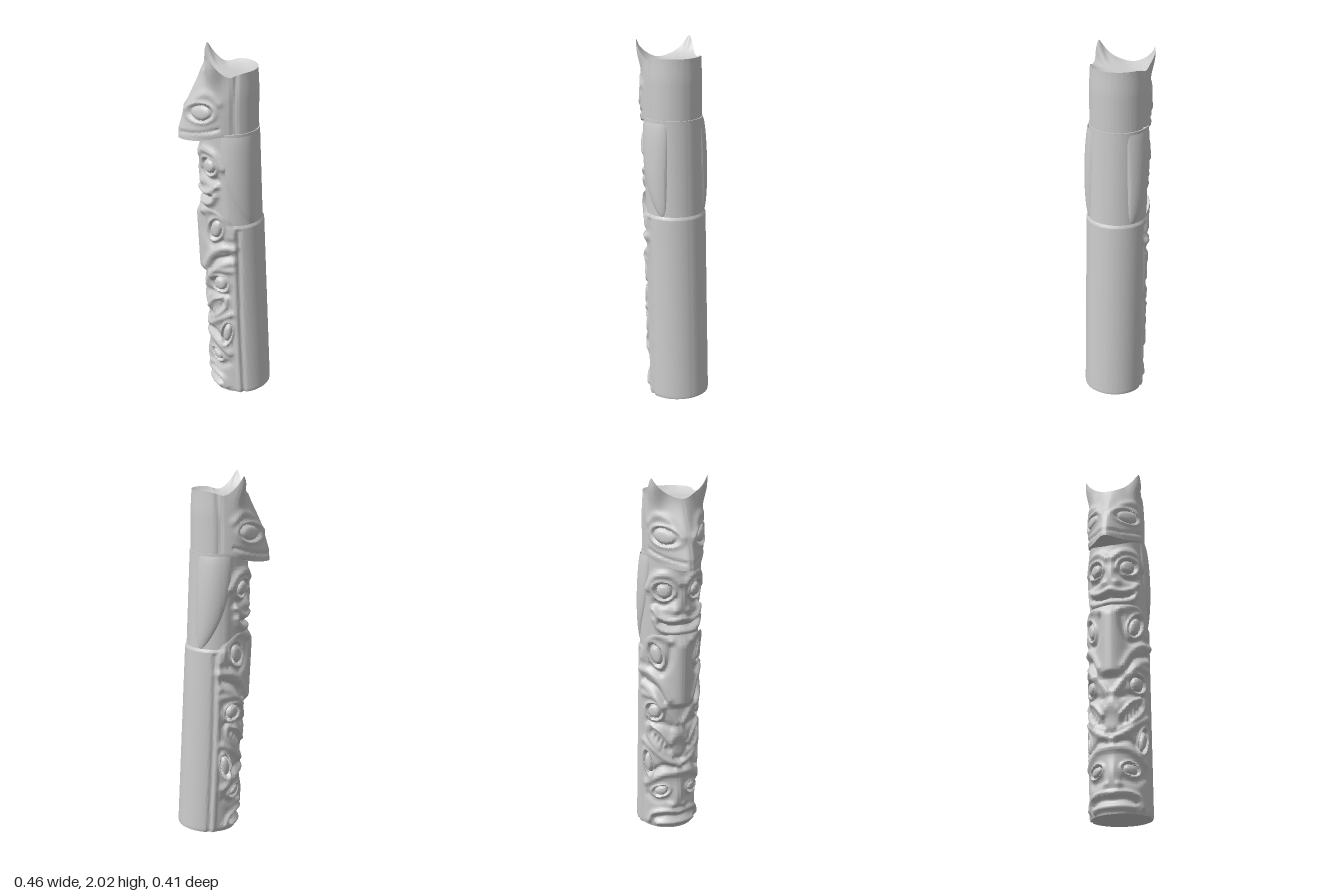
import * as THREE from 'three';
import { toCreasedNormals } from 'three/addons/utils/BufferGeometryUtils.js';

const { smoothstep: ss, lerp } = THREE.MathUtils;
const gauss = (d, w) => Math.exp(-(d * d) / (w * w));
const ARC = 0.17; // turns angles into distances along the pole's surface
const COLS = 180;

// Angle around the pole (0 = front), with closer columns on the carved front
const angleAt = (t) => Math.PI * t - 0.5 * Math.sin(Math.PI * t);

// Axis offset and radius of the leaning pole
const axisZ = (y) => (y < 1.1 ? lerp(-0.068, -0.018, y / 1.1) : lerp(-0.018, 0.002, Math.min(1, (y - 1.1) / 0.5)));

// Builds a grid surface from fn(row, column) -> [x, y, z]
function surface(rows, cols, fn, wrap) {
  const pos = [], idx = [], w = wrap ? cols : cols + 1;
  for (let i = 0; i <= rows; i++) for (let j = 0; j < w; j++) pos.push(...fn(i, j));
  for (let i = 0; i < rows; i++) {
    for (let j = 0; j < cols; j++) {
      const k = (j + 1) % w, a = i * w + j, b = i * w + k, c = b + w, d = a + w;
      idx.push(a, b, c, a, c, d);
    }
  }
  const g = new THREE.BufferGeometry();
  g.setAttribute('position', new THREE.Float32BufferAttribute(pos, 3));
  g.setIndex(idx);
  return toCreasedNormals(g, 0.9);
}

// Carved eye: a raised lid, a groove and a domed eyeball
const eye = (u, v, ru, rv, tilt, h) => (x, y) => {
  const c = Math.cos(tilt), s = Math.sin(tilt), dx = x - u, dy = y - v;
  const d = Math.hypot((dx * c + dy * s) / ru, (dy * c - dx * s) / rv);
  if (d > 2.2) return 0;
  return h * (0.7 * gauss(d - 1.35, 0.25) - 0.9 * gauss(d - 1, 0.18) + 0.8 * Math.sqrt(Math.max(0, 1 - d * d)));
};

// Rounded bump
const bump = (u, v, ru, rv, h) => (x, y) => h * gauss(Math.hypot((x - u) / ru, (y - v) / rv), 1);

// Ridge (h > 0) or groove (h < 0) along a smooth path of [u, y] points
const line = (w, h, ...pts) => {
  const path = new THREE.CatmullRomCurve3(pts.map(([u, v]) => new THREE.Vector3(u, v, 0))).getPoints(14);
  return (x, y) => {
    let best = 1;
    for (let i = 0; i < path.length - 1; i++) {
      const p = path[i], ex = path[i + 1].x - p.x, ey = path[i + 1].y - p.y;
      const t = Math.min(1, Math.max(0, ((x - p.x) * ex + (y - p.y) * ey) / (ex * ex + ey * ey)));
      best = Math.min(best, Math.hypot(x - p.x - ex * t, y - p.y - ey * t));
    }
    return h * gauss(best, w);
  };
};

const carve = (marks, a, y) => marks.reduce((sum, m) => sum + m(Math.abs(a) * ARC, y), 0);

// Closed pole section: bottom(a), top(a) heights, radius(a, y), height of the dished top
function section(rows, bottom, top, radius, dish) {
  const cap = 12;
  return surface(rows + cap + 1, COLS, (i, j) => {
    const a = angleAt((2 * j) / COLS - 1);
    const t = Math.min(1, Math.max(0, (i - 1) / rows));
    const s = i === 0 ? 0.001 : Math.max(0.001, 1 - Math.max(0, i - 1 - rows) / cap);
    const y0 = lerp(bottom(a), top(a), t);
    const y = i > rows + 1 ? lerp(dish, y0, Math.pow(s, 4)) : y0;
    const r = radius(a, y0) * s;
    return [r * Math.sin(a), y, axisZ(y0) + r * Math.cos(a)];
  }, true);
}

// Lowest face: brows, eyes, nose and down-turned lips
const lowFace = [
  line(0.022, 0.016, [0, 0.35], [0.09, 0.34], [0.2, 0.27]),
  eye(0.105, 0.235, 0.042, 0.027, -0.25, 0.013),
  bump(0, 0.2, 0.035, 0.08, 0.02), bump(0.035, 0.15, 0.02, 0.022, 0.014),
  line(0.015, 0.017, [0, 0.105], [0.08, 0.11], [0.15, 0.09], [0.175, 0.04]),
  line(0.015, 0.015, [0, 0.035], [0.07, 0.035], [0.12, 0.03]),
  line(0.012, -0.01, [0, 0.07], [0.07, 0.075], [0.135, 0.06]),
  line(0.02, -0.01, [0.06, 0.18], [0.13, 0.17], [0.19, 0.2]),
];
// Toothed face with crossed limbs and oval ears below it
const toothFace = [
  eye(0.158, 0.715, 0.044, 0.04, 0.3, 0.016),
  line(0.02, 0.014, [0.02, 0.66], [0.09, 0.75], [0.15, 0.8], [0.23, 0.81]),
  line(0.02, -0.014, [0.05, 0.63], [0.11, 0.65], [0.2, 0.65]),
  bump(0, 0.59, 0.05, 0.05, 0.016), bump(0.04, 0.56, 0.02, 0.025, 0.01),
  line(0.013, 0.015, [0.05, 0.53], [0.11, 0.6], [0.18, 0.64]),
  line(0.013, 0.014, [0.04, 0.45], [0.12, 0.5], [0.19, 0.57], [0.2, 0.63]),
  line(0.016, -0.012, [0.06, 0.49], [0.12, 0.55], [0.17, 0.59]),
  ...[0, 1, 2, 3].map((k) => bump(0.085 + k * 0.022, 0.515 + k * 0.022, 0.009, 0.017, 0.013)),
  eye(0.19, 0.4, 0.026, 0.06, -0.25, 0.017),
  line(0.02, 0.016, [0, 0.4], [0.07, 0.43], [0.14, 0.48], [0.22, 0.53]),
  line(0.016, -0.012, [0, 0.43], [0.06, 0.46], [0.1, 0.49]),
  line(0.015, -0.012, [0.03, 0.38], [0.1, 0.39], [0.15, 0.36]),
];
// Long-beaked face
const beakFace = [
  eye(0.15, 1.05, 0.036, 0.058, -0.45, 0.014),
  line(0.022, 0.014, [0.06, 1.14], [0.14, 1.16], [0.22, 1.12], [0.24, 1.02]),
  line(0.02, -0.014, [0.06, 1.1], [0.075, 1.0], [0.11, 0.95], [0.19, 0.98]),
  line(0.022, 0.016, [0.07, 0.8], [0.11, 0.88], [0.18, 0.94], [0.26, 0.95]),
  line(0.014, -0.013, [0.09, 0.79], [0.14, 0.86], [0.24, 0.9]),
  line(0.018, 0.012, [0.1, 0.75], [0.15, 0.82], [0.24, 0.86]),
];
const sideGrooves = [
  line(0.012, -0.01, [0.275, -0.05], [0.275, 0.5], [0.285, 1.05]),
  line(0.014, 0.006, [0.25, -0.05], [0.25, 0.5], [0.26, 1.05]),
];
const lowerMarks = [...lowFace, ...toothFace, ...beakFace, ...sideGrooves];

function lowerRadius(a, y) {
  const front = 1 - ss(Math.abs(a), 1.3, 1.65);
  const beak = 0.037 * gauss(a, 0.42) * ss(y, 0.735, 0.78) * (1 - ss(y, 1.1, 1.19));
  return 0.171 - 0.008 * front + beak + carve(lowerMarks, a, y) - 0.01 * ss(y, 1.07, 1.09) * ss(Math.abs(a), 1.2, 1.6)
    - 0.006 * (1 - ss(y, 0, 0.03));
}

// Broad-lipped face between the wings
const wingFace = [
  eye(0.11, 1.41, 0.05, 0.04, 0.15, 0.016),
  line(0.024, 0.018, [0.02, 1.46], [0.08, 1.5], [0.16, 1.49], [0.21, 1.42]),
  line(0.02, -0.016, [0.05, 1.37], [0.1, 1.335], [0.17, 1.34]),
  bump(0, 1.36, 0.04, 0.1, 0.02), bump(0.04, 1.305, 0.024, 0.025, 0.016),
  line(0.017, 0.021, [0, 1.26], [0.07, 1.25], [0.13, 1.27], [0.17, 1.31]),
  line(0.018, 0.02, [0, 1.185], [0.07, 1.185], [0.13, 1.205], [0.16, 1.25]),
  line(0.011, -0.014, [0, 1.222], [0.06, 1.217], [0.13, 1.235]),
];
const wingRadius = (a, y) => 0.163 - 0.006 * (1 - ss(Math.abs(a), 1.1, 1.4)) + carve(wingFace, a, y);

// Head with overhanging beak, browed eyes and pointed ears
const headMarks = [
  eye(0.105, 1.715, 0.06, 0.04, 0.25, 0.011),
  line(0.022, 0.011, [0.03, 1.72], [0.08, 1.8], [0.15, 1.82], [0.2, 1.78]),
  line(0.009, -0.008, [0.02, 1.585], [0.1, 1.605], [0.2, 1.64]),
  line(0.014, -0.008, [0.29, 1.55], [0.285, 1.75], [0.3, 1.95]),
];
const earAt = (a) => Math.abs(Math.abs(a) - 0.96);
function headRadius(a, y) {
  const drop = Math.min(1, Math.max(0, (1.92 - y) / 0.36));
  const front = 1 - ss(Math.abs(a), 0.8, 1.65);
  const taper = 0.006 * ss(y, 1.8, 1.95) + 0.008 * (1 - ss(y, 1.56, 1.61));
  const brow = 0.045 * gauss(earAt(a), 0.28) * ss(y, 1.78, 1.98);
  const beak = drop * (0.07 * gauss(a, 0.55) + 0.035 * gauss(a, 0.2));
  return 0.157 + 0.022 * front * ss(drop, 0.05, 0.6) + beak + brow - taper + carve(headMarks, a, y);
}
const headBottom = (a) => 1.6 - 0.055 * (1 - ss(Math.abs(a), 0.1, 1.5));
const headTop = (a) => 1.937 - 0.022 * gauss(Math.abs(a) - 1.5, 0.35) - 0.03 * gauss(a, 0.5)
  + 0.085 * Math.exp(-Math.pow(earAt(a) / 0.2, 1.3));

// Folded wing, tapering down to a point at the back of the side
function wing(side) {
  return surface(50, 24, (i, j) => {
    const t = i / 50, y = lerp(1.085, 1.595, t), s = side > 0 ? j / 24 : 1 - j / 24;
    const front = lerp(1.2, 2.1, Math.pow(1 - t, 2.6));
    const back = lerp(2.3, 2.52, Math.pow(t, 0.4));
    const a = side * lerp(front, back, s);
    const puff = Math.pow(Math.max(0, Math.sin(Math.PI * s)), 0.4) * Math.pow(Math.max(0, Math.sin(Math.PI * lerp(0.02, 0.96, t))), 0.4);
    const r = 0.154 + 0.03 * puff;
    return [r * Math.sin(a), y, axisZ(y) + r * Math.cos(a)];
  }, false);
}

export function createModel() {
  const model = new THREE.Group();
  model.name = 'totemPole';
  const carving = new THREE.Group();
  carving.name = 'carving';
  const mat = new THREE.MeshStandardMaterial({ color: 0xcccccc });
  const wingMat = new THREE.MeshStandardMaterial({ color: 0xcccccc, side: THREE.DoubleSide });
  const add = (name, geo, m = mat) => {
    const mesh = new THREE.Mesh(geo, m);
    mesh.name = name;
    carving.add(mesh);
  };

  add('lowerPole', section(175, (a) => 0.01 - 0.01 * Math.cos(a),
    (a) => 1.09 + 0.08 * (1 - ss(Math.abs(a), 0.9, 1.7)), lowerRadius, 1.1));
  add('wingedFigure', section(80, () => 1.07, () => 1.61, wingRadius, 1.61));
  add('leftWing', wing(1), wingMat);
  add('rightWing', wing(-1), wingMat);
  add('beakedHead', section(60, headBottom, headTop, headRadius, 1.9));

  // The carved front faces diagonally
  carving.rotation.y = -0.962;
  model.add(carving);
  return model;
}
